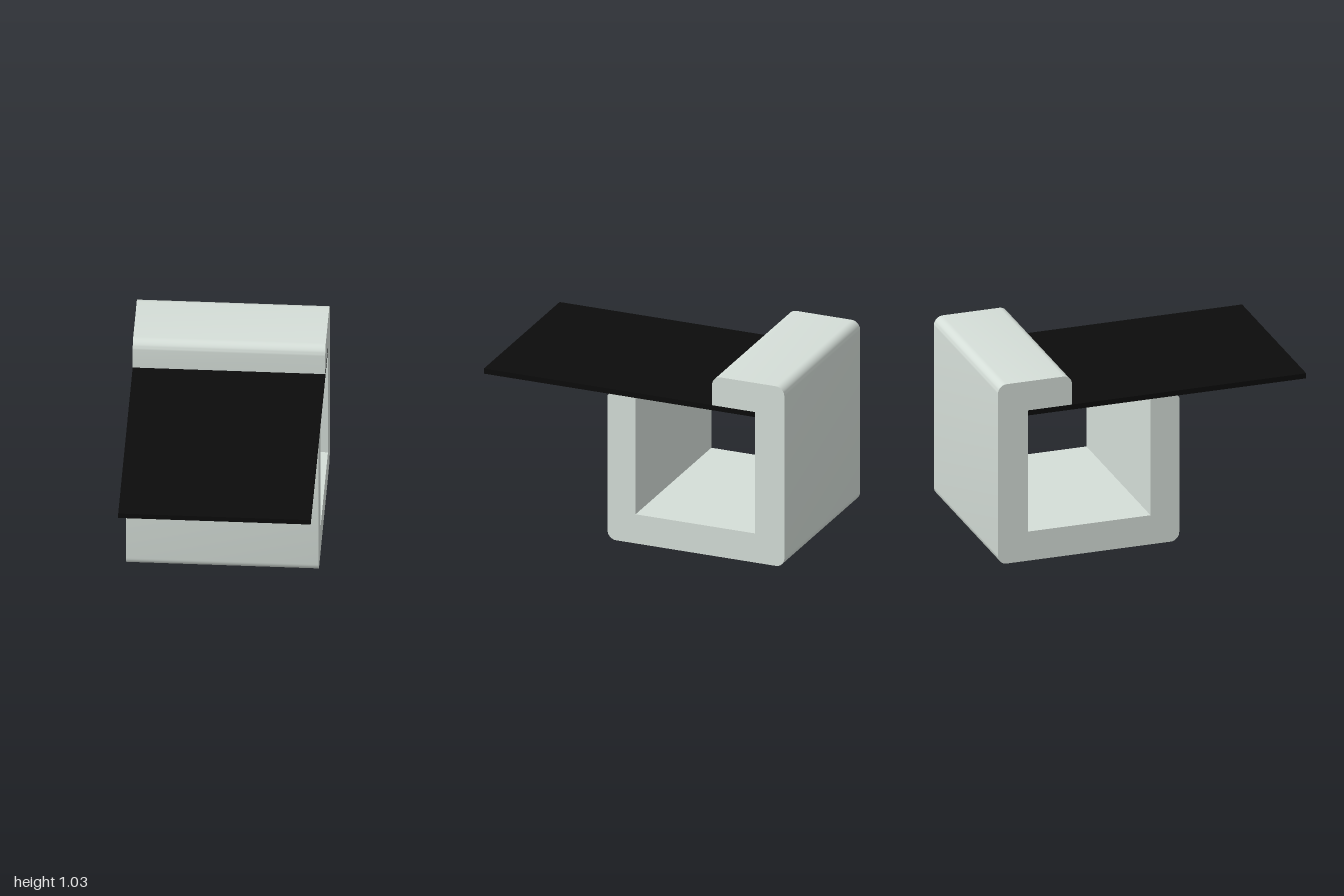
import * as THREE from 'three';
import { toCreasedNormals } from 'three/addons/utils/BufferGeometryUtils.js';

const WIDTH = 1.025, DEPTH = 1.737;

// Closed outline from [x, y, cornerRadius] points
function roundedOutline(points) {
  const shape = new THREE.Shape();
  const n = points.length;
  points.forEach(([x, y, r], i) => {
    const corner = new THREE.Vector2(x, y);
    const toward = ([px, py]) =>
      new THREE.Vector2(px, py).sub(corner).setLength(r).add(corner);
    const a = r ? toward(points[(i + n - 1) % n]) : corner;
    const b = r ? toward(points[(i + 1) % n]) : corner;
    if (i === 0) shape.moveTo(a.x, a.y);
    else shape.lineTo(a.x, a.y);
    if (r) {
      // Cubic that closely follows a quarter circle
      const c1 = a.clone().lerp(corner, 0.552), c2 = b.clone().lerp(corner, 0.552);
      shape.bezierCurveTo(c1.x, c1.y, c2.x, c2.y, b.x, b.y);
    }
  });
  shape.closePath();
  return shape;
}

export function createModel() {
  const paleGrey = new THREE.MeshStandardMaterial({ color: 0xd5ded8 });
  paleGrey.name = 'pale grey';
  const black = new THREE.MeshStandardMaterial({ color: 0x0b0b0b });
  black.name = 'black';

  // Hooked body: x runs from the back to the front of the profile
  const profile = roundedOutline([
    [0, 0, 0.05], [1.022, 0, 0.05], [1.022, 0.834, 0.015], [0.86, 0.834, 0],
    [0.86, 0.167, 0], [0.169, 0.167, 0], [0.169, 0.863, 0],
    [0.418, 0.863, 0], [0.418, 1.03, 0.05], [0, 1.03, 0.05],
  ]);
  const extruded = new THREE.ExtrudeGeometry(profile, {
    depth: WIDTH, bevelEnabled: false, curveSegments: 8,
  });
  extruded.translate(-DEPTH / 2, 0, -WIDTH / 2).rotateY(-Math.PI / 2);
  const body = new THREE.Mesh(toCreasedNormals(extruded, 0.6), paleGrey);
  body.name = 'hookedBody';

  // Thin top, held under the hook and overhanging at the front
  const topDepth = DEPTH - 0.169;
  const top = new THREE.Mesh(new THREE.BoxGeometry(WIDTH, 0.029, topDepth), black);
  top.position.set(0, 0.8485, (DEPTH - topDepth) / 2);
  top.name = 'tableTop';

  // The whole piece stands turned on the floor
  const table = new THREE.Group();
  table.name = 'table';
  table.rotation.y = 0.671;
  table.add(body, top);

  const model = new THREE.Group();
  model.add(table);
  return model;
}
